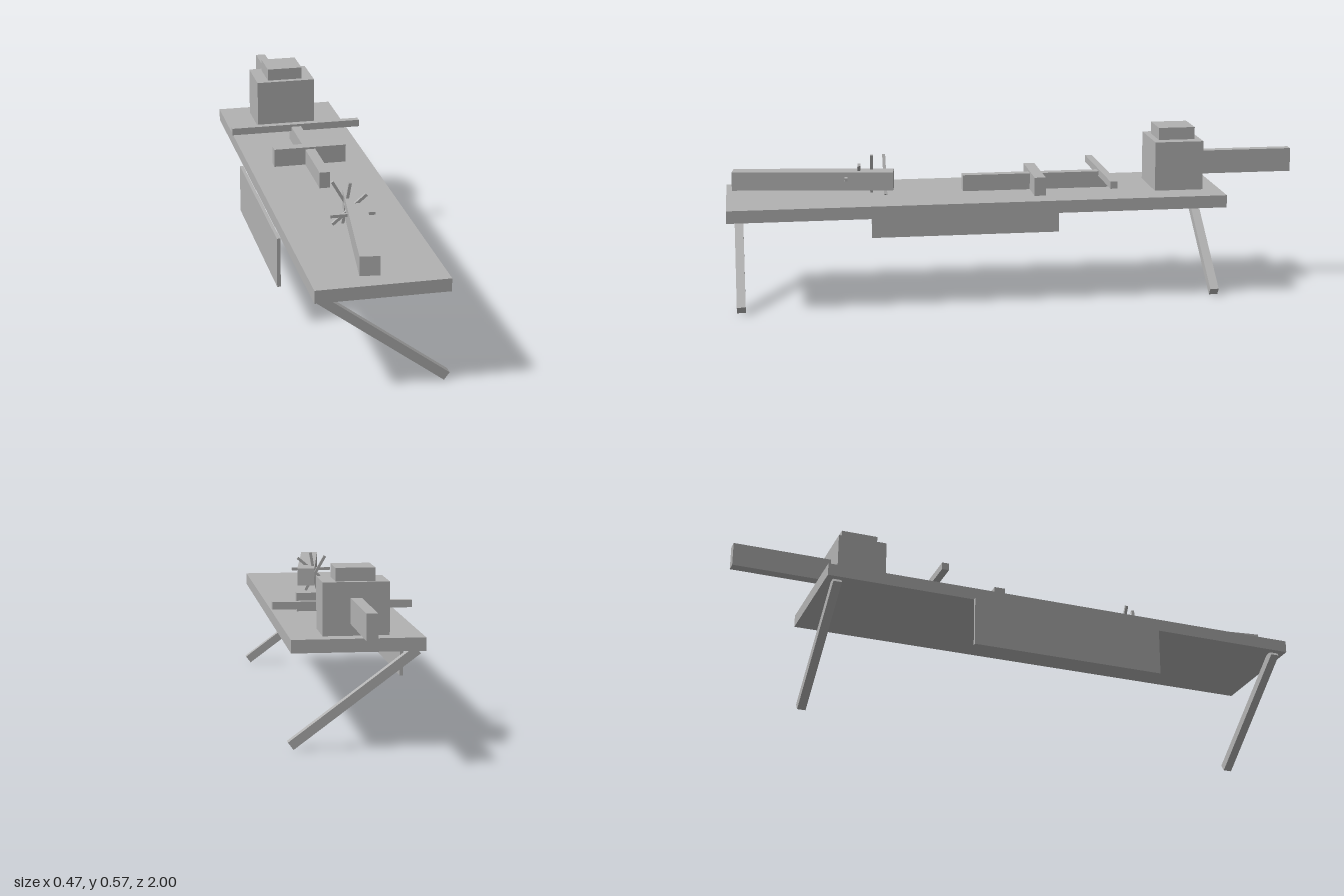
import * as THREE from 'three';

export function createModel() {
  const model = new THREE.Group();
  const grey = new THREE.MeshStandardMaterial({ color: 0xb2b2b2 });
  grey.name = 'grey';

  // Box by size and centre
  const addBox = (name, [w, h, d], [x, y, z]) => {
    const mesh = new THREE.Mesh(new THREE.BoxGeometry(w, h, d), grey);
    mesh.name = name;
    mesh.position.set(x, y, z);
    model.add(mesh);
    return mesh;
  };

  // Long deck and the panel hanging from its right edge
  addBox('deck', [0.43, 0.043, 1.718], [0, 0.3365, 0.141]);
  addBox('sidePanel', [0.012, 0.172, 0.688], [-0.222, 0.229, 0.141]);

  // Slanted legs under both ends
  for (const [name, z] of [['frontLeg', 0.96], ['rearLeg', -0.68]]) {
    addBox(name, [0.507, 0.03, 0.03], [0.0105, 0.164, z]).rotation.z = -0.638;
  }

  // Rear turret
  addBox('turret', [0.215, 0.172, 0.171], [0, 0.444, -0.572]);
  addBox('turretCap', [0.128, 0.043, 0.128], [0, 0.5515, -0.572]);
  addBox('turretBarrel', [0.036, 0.083, 0.345], [0, 0.437, -0.8275]);

  // Small craft resting on the deck
  addBox('craftBody', [0.036, 0.057, 0.515], [0, 0.3865, -0.077]);
  addBox('craftWing', [0.258, 0.064, 0.039], [0, 0.39, -0.076]);
  addBox('craftTail', [0.472, 0.025, 0.025], [0, 0.411, -0.314]);

  // Angled beam at the front with a fan of thin bars through it
  addBox('beam', [0.064, 0.064, 0.556], [0, 0.412, 0.7]).rotation.y = -0.137;
  for (let i = 0; i < 4; i++) {
    const bar = addBox('fanBar', [0.148, 0.01, 0.01], [0, 0.423, 0.59 - i * 0.046]);
    bar.rotation.z = THREE.MathUtils.degToRad(40 * i);
  }

  return model;
}
